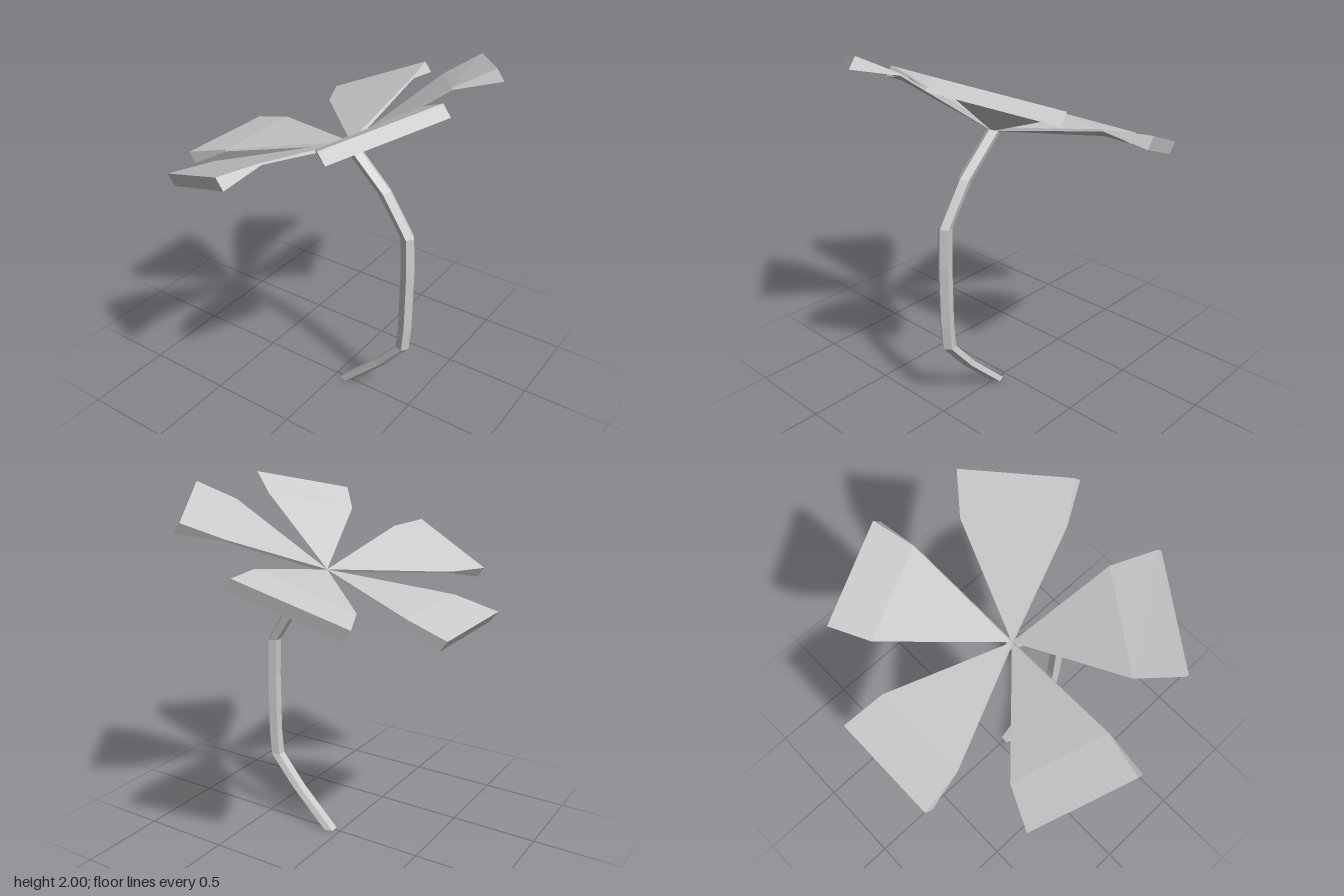
import * as THREE from 'three';

const material = new THREE.MeshStandardMaterial({ color: 0xcccccc, flatShading: true });

// Builds a flat-shaded mesh from polygons, each fanned into triangles
function polygonMesh(name, polygons) {
  const points = [];
  for (const poly of polygons) {
    for (let i = 1; i < poly.length - 1; i++) points.push(...poly[0], ...poly[i], ...poly[i + 1]);
  }
  const geometry = new THREE.BufferGeometry();
  geometry.setAttribute('position', new THREE.Float32BufferAttribute(points, 3));
  geometry.computeVertexNormals();
  const mesh = new THREE.Mesh(geometry, material);
  mesh.name = name;
  return mesh;
}

// Pointed petal: hub point, widest bend (A, B), then a thick blunt tip (C, D)
function petal(name, [A, B, C, D]) {
  const lower = (p, s) => [p[0] + 0.041 * s, p[1] - 0.056 * s, p[2]];
  const H = [0.08, 1.555, 0];
  const h = lower(H, 0.3);
  const [a, b] = [lower(A, 0.15), lower(B, 0.15)];
  const [c, d] = [lower(C, 1), lower(D, 1)];
  return polygonMesh(name, [
    [H, A, B], [A, C, D, B],        // upper side
    [h, b, a], [b, d, c, a],        // underside
    [C, c, d, D],                   // blunt tip
    [H, h, a, A], [A, a, c, C],     // first edge
    [h, H, B, b], [b, B, D, d],     // second edge
  ]);
}

// Five-sided stem; each ring is centre x, y and the x, y lean of its radius
function stem() {
  const rings = [
    [0.07, 0, 0.04, 0], [0.298, 0.225, 0.039, 0], [0.442, 0.4, 0.039, 0],
    [0.453, 0.55, 0.039, 0], [0.453, 0.9, 0.039, 0], [0.442, 1.11, 0.038, 0],
    [0.297, 1.33, 0.033, 0.012], [0.08, 1.54, 0.024, 0.022],
  ].map(([x, y, dx, dy]) => Array.from({ length: 5 }, (_, k) => {
    const t = (k / 5) * Math.PI * 2;
    return [x + dx * Math.cos(t), y + dy * Math.cos(t), 0.04 * Math.sin(t)];
  }));
  const faces = [rings[0], [...rings.at(-1)].reverse()];
  for (let j = 0; j < rings.length - 1; j++) {
    for (let k = 0; k < 5; k++) {
      const n = (k + 1) % 5;
      faces.push([rings[j][k], rings[j + 1][k], rings[j + 1][n], rings[j][n]]);
    }
  }
  return polygonMesh('stem', faces);
}

export function createModel() {
  const group = new THREE.Group();
  group.name = 'flower';
  group.add(stem());

  // Low petal on the model's right
  group.add(petal('lowPetal', [
    [-0.54, 1.445, -0.27], [-0.54, 1.445, 0.27], [-0.775, 1.38, -0.3], [-0.775, 1.38, 0.3],
  ]));

  // Middle and high petals, mirrored front to back
  const pairs = {
    middlePetal: [[-0.405, 1.505, 0.495], [0.045, 1.69, 0.665], [-0.51, 1.497, 0.715], [-0.01, 1.7, 0.902]],
    highPetal: [[0.28, 1.785, 0.575], [0.56, 1.905, 0.14], [0.418, 1.878, 0.743], [0.728, 2, 0.26]],
  };
  for (const [name, corners] of Object.entries(pairs)) {
    const [A, B, C, D] = corners.map(([x, y, z]) => [x, y, -z]);
    group.add(petal(name + 'Front', corners));
    group.add(petal(name + 'Back', [B, A, D, C]));
  }
  return group;
}
